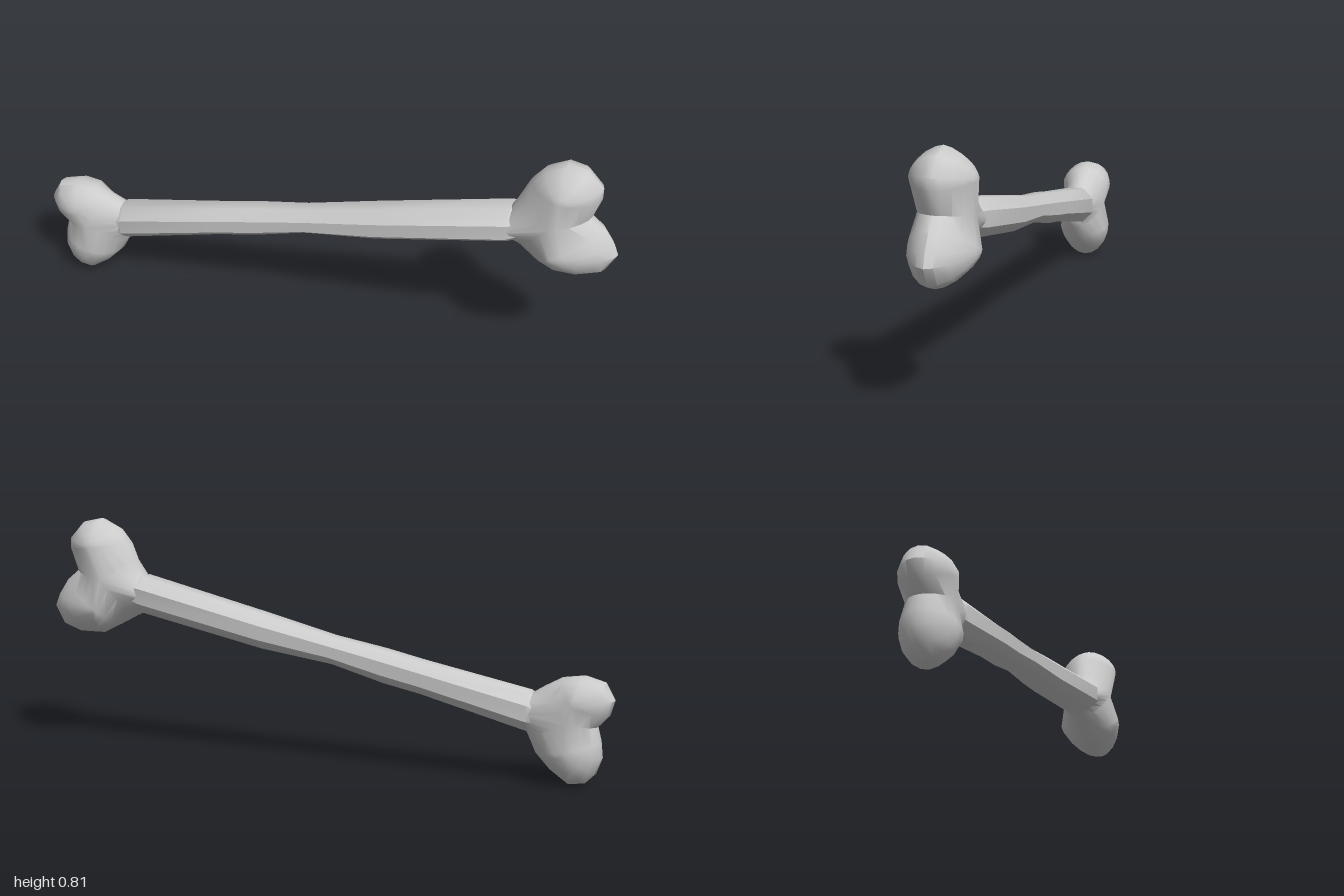
import * as THREE from 'three';
import { toCreasedNormals } from 'three/addons/utils/BufferGeometryUtils.js';

const material = new THREE.MeshStandardMaterial({ color: 0xcccccc, side: THREE.DoubleSide });

// Skins a grid of points (rows x columns); rows may wrap around.
function skin(name, rows, wrapRows, wrapCols) {
  const n = rows.length, m = rows[0].length, index = [];
  for (let i = 0; i < (wrapRows ? n : n - 1); i++) {
    for (let j = 0; j < (wrapCols ? m : m - 1); j++) {
      const i2 = (i + 1) % n, j2 = (j + 1) % m;
      const a = i * m + j, b = i * m + j2, c = i2 * m + j, d = i2 * m + j2;
      index.push(a, b, c, b, d, c);
    }
  }
  const geometry = new THREE.BufferGeometry();
  geometry.setAttribute('position', new THREE.Float32BufferAttribute(rows.flat(2), 3));
  geometry.setIndex(index);
  const mesh = new THREE.Mesh(toCreasedNormals(geometry, 0.75), material);
  mesh.name = name;
  return mesh;
}

// A knob swells from its outline [x, y, spine key] to the spine points [x, y, half depth].
function knob(name, spine, outline, power) {
  const steps = 10;
  const rows = outline.map(([x, y, key]) => {
    const [sx, sy, h] = spine[key];
    return Array.from({ length: steps + 1 }, (_, j) => {
      const t = (j / steps - 0.5) * Math.PI;
      const r = Math.pow(Math.max(0, Math.cos(t)), power);
      const z = Math.sign(t) * Math.pow(Math.abs(Math.sin(t)), power);
      return [sx + (x - sx) * r, sy + (y - sy) * r, h * z];
    });
  });
  return skin(name, rows, true, false);
}

export function createModel() {
  const bone = new THREE.Group();
  bone.name = 'bone';

  // Shaft: eight-sided sections [x, bottom, top, half depth], tucked into the knobs
  const sections = [
    [-0.80, 0.19, 0.25, 0.04], [-0.725, 0.172, 0.302, 0.062], [-0.36, 0.27, 0.378, 0.06],
    [-0.23, 0.298, 0.408, 0.059], [-0.05, 0.35, 0.442, 0.058], [0.2, 0.388, 0.506, 0.067],
    [0.645, 0.488, 0.615, 0.077], [0.74, 0.53, 0.6, 0.04],
  ];
  const rings = sections.map(([x, bottom, top, depth]) =>
    Array.from({ length: 8 }, (_, k) => {
      const a = (k + 0.5) * Math.PI / 4, s = 1 / Math.cos(Math.PI / 8);
      return [x, (top + bottom) / 2 + Math.sin(a) * s * (top - bottom) / 2, -Math.cos(a) * s * depth];
    }));
  bone.add(skin('shaft', rings, false, true));

  // Larger end: upper and lower lobe
  bone.add(knob('largeKnob', {
    root: [0.64, 0.55, 0.075], fork: [0.78, 0.6, 0.09],
    upper: [0.81, 0.715, 0.105], lower: [0.80, 0.505, 0.111],
  }, [
    [0.635, 0.6, 'root'], [0.655, 0.625, 'root'], [0.675, 0.67, 'fork'],
    [0.70, 0.725, 'upper'], [0.74, 0.775, 'upper'], [0.81, 0.81, 'upper'], [0.88, 0.795, 'upper'],
    [0.93, 0.74, 'upper'], [0.93, 0.70, 'upper'], [0.905, 0.625, 'fork'],
    [0.95, 0.588, 'lower'], [0.985, 0.535, 'lower'], [1.0, 0.495, 'lower'], [0.965, 0.43, 'lower'],
    [0.90, 0.405, 'lower'], [0.81, 0.405, 'lower'], [0.74, 0.44, 'lower'],
    [0.675, 0.475, 'fork'], [0.635, 0.492, 'root'],
  ], 1.25));

  // Smaller end: lower and upper lobe
  bone.add(knob('smallKnob', {
    root: [-0.73, 0.235, 0.06], fork: [-0.85, 0.215, 0.076],
    lower: [-0.855, 0.125, 0.092], upper: [-0.875, 0.275, 0.09],
  }, [
    [-0.71, 0.18, 'root'], [-0.722, 0.15, 'fork'], [-0.745, 0.105, 'lower'], [-0.795, 0.05, 'lower'],
    [-0.86, 0.003, 'lower'], [-0.91, 0.01, 'lower'], [-0.945, 0.045, 'lower'], [-0.965, 0.1, 'lower'],
    [-0.96, 0.15, 'lower'], [-0.948, 0.2, 'fork'],
    [-0.985, 0.24, 'upper'], [-1.0, 0.29, 'upper'], [-0.97, 0.345, 'upper'], [-0.90, 0.365, 'upper'],
    [-0.83, 0.355, 'upper'], [-0.775, 0.325, 'fork'], [-0.735, 0.3, 'root'],
  ], 1.05));

  return bone;
}
